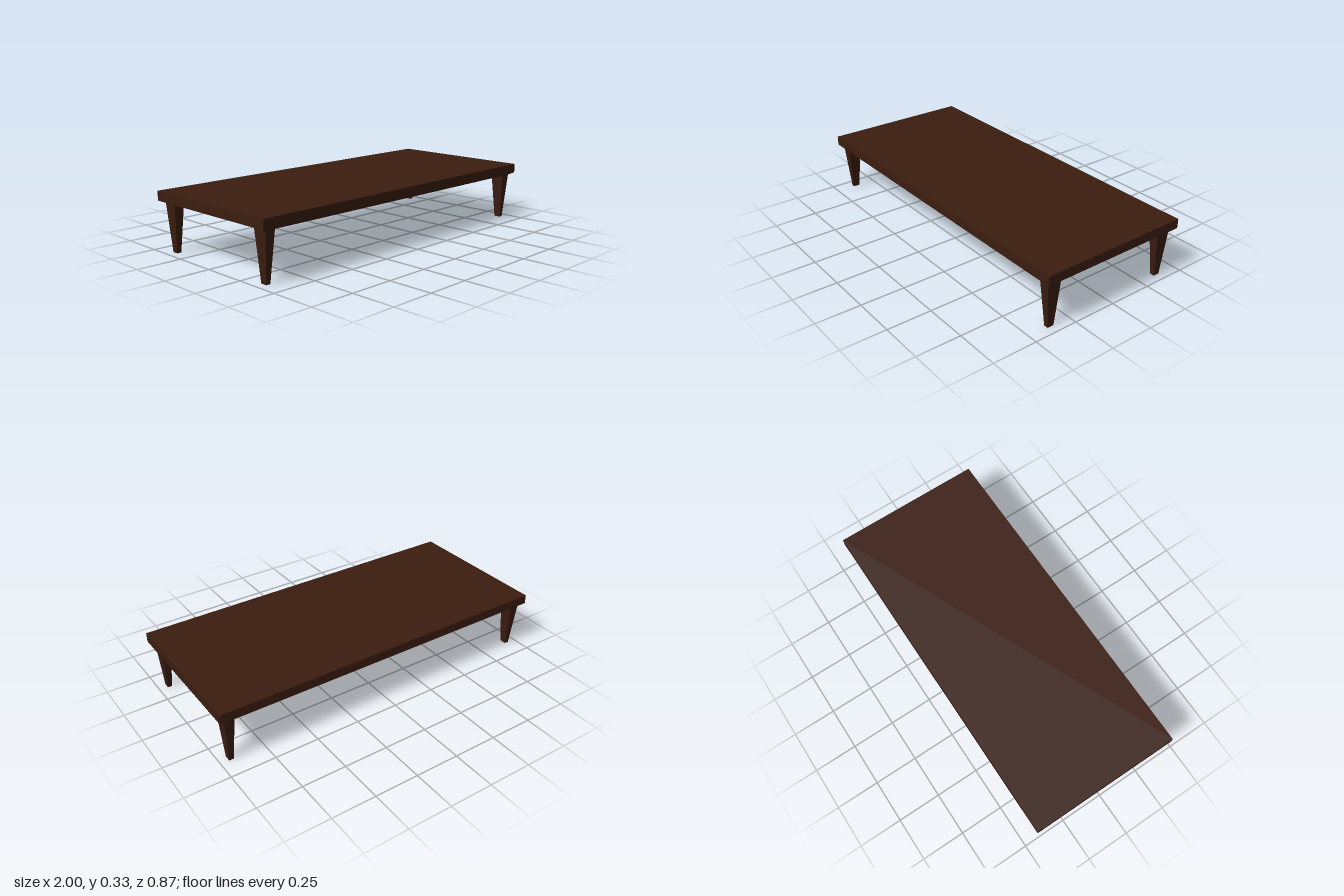
import * as THREE from 'three';

const wood = new THREE.MeshStandardMaterial({ color: 0x3b1d10, flatShading: true });

// Rectangular stack: rows of [y, halfWidthX, halfWidthZ] from bottom to top
function taperedBlock(rows) {
  const n = rows.length - 1;
  const box = new THREE.BoxGeometry(2, n, 2, 1, n, 1);
  const p = box.attributes.position;
  for (let i = 0; i < p.count; i++) {
    const [y, hx, hz] = rows[Math.round(p.getY(i) + n / 2)];
    p.setXYZ(i, Math.sign(p.getX(i)) * hx, y, Math.sign(p.getZ(i)) * hz);
  }
  const geometry = box.toNonIndexed();
  geometry.computeVertexNormals();
  return geometry;
}

export function createModel() {
  const table = new THREE.Group();
  table.name = 'lowTable';

  // Slab with a bevel along its lower edge
  const top = new THREE.Mesh(taperedBlock([
    [0.267, 0.968, 0.411],
    [0.28, 1, 0.435],
    [0.333, 1, 0.435],
  ]), wood);
  top.name = 'tableTop';
  table.add(top);

  // Tapered rectangular legs with a short foot
  const legGeometry = taperedBlock([
    [0, 0.0125, 0.0185],
    [0.037, 0.0145, 0.0215],
    [0.267, 0.028, 0.0415],
  ]);
  for (const x of [-1, 1]) {
    for (const z of [-1, 1]) {
      const leg = new THREE.Mesh(legGeometry, wood);
      leg.name = (z > 0 ? 'front' : 'back') + (x > 0 ? 'Left' : 'Right') + 'Leg';
      leg.position.set(x * 0.94, 0, z * 0.3695);
      table.add(leg);
    }
  }
  return table;
}
